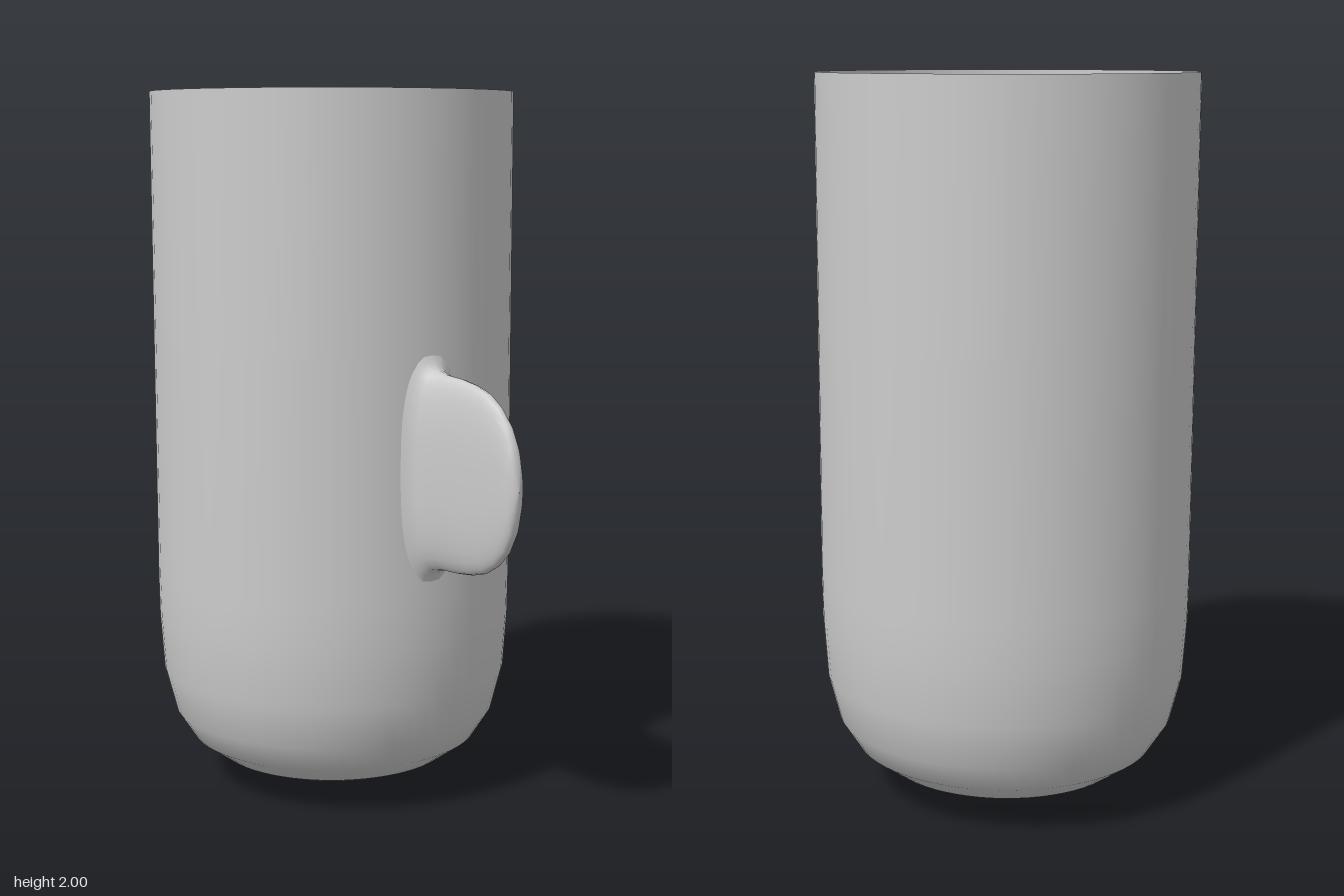
import * as THREE from 'three';

const RADIUS = 0.515;
const CENTRE_X = -0.19;

// Tab handle lofted outwards: each ring is [distance from cup axis, half height, half thickness]
function handleGeometry() {
  const rings = [
    [0.508, 0.33, 0.11], [0.52, 0.295, 0.084], [0.54, 0.274, 0.064], [0.58, 0.265, 0.055],
    [0.65, 0.261, 0.049], [0.71, 0.253, 0.043], [0.77, 0.237, 0.037], [0.82, 0.208, 0.032],
    [0.86, 0.168, 0.028], [0.885, 0.122, 0.024], [0.9, 0.07, 0.017], [0.907, 0.001, 0.001],
  ];
  const sides = 32;
  const soft = (v) => Math.sign(v) * Math.abs(v) ** 0.8;
  const positions = [];
  const index = [];
  rings.forEach(([r, h, t], i) => {
    for (let j = 0; j < sides; j++) {
      const a = (j / sides) * Math.PI * 2;
      const z = t * soft(Math.sin(a));
      // follow the curve of the cup wall
      const sag = RADIUS - Math.sqrt(RADIUS * RADIUS - z * z);
      positions.push(r - sag, h * soft(Math.cos(a)), z);
      if (i < rings.length - 1) {
        const k = (j + 1) % sides;
        const p = i * sides + j, q = i * sides + k;
        index.push(p, q, p + sides, q, q + sides, p + sides);
      }
    }
  });
  const geometry = new THREE.BufferGeometry();
  geometry.setAttribute('position', new THREE.Float32BufferAttribute(positions, 3));
  geometry.setIndex(index);
  geometry.computeVertexNormals();
  return geometry;
}

export function createModel() {
  const group = new THREE.Group();
  group.name = 'cup';
  const grey = new THREE.MeshStandardMaterial({ color: 0xcccccc, side: THREE.DoubleSide });
  grey.name = 'light grey';

  // Open, single-walled cup with a rounded, slightly pointed base
  const profile = [
    [0, 0], [0.14, 0.027], [0.27, 0.053], [0.34, 0.08], [0.42, 0.137], [0.47, 0.215],
    [0.502, 0.34], [RADIUS - 0.002, 0.5], [RADIUS, 0.62], [RADIUS, 1.3], [RADIUS, 2],
  ].map(([x, y]) => new THREE.Vector2(x, y));
  const body = new THREE.Mesh(new THREE.LatheGeometry(profile, 64), grey);
  body.name = 'cupBody';
  body.position.x = CENTRE_X;
  group.add(body);

  // Handle pointing radially, turned a little towards the front
  const handle = new THREE.Mesh(handleGeometry(), grey);
  handle.name = 'handle';
  handle.position.set(CENTRE_X, 0.99, 0);
  handle.rotation.y = -Math.PI / 16;
  group.add(handle);

  return group;
}
